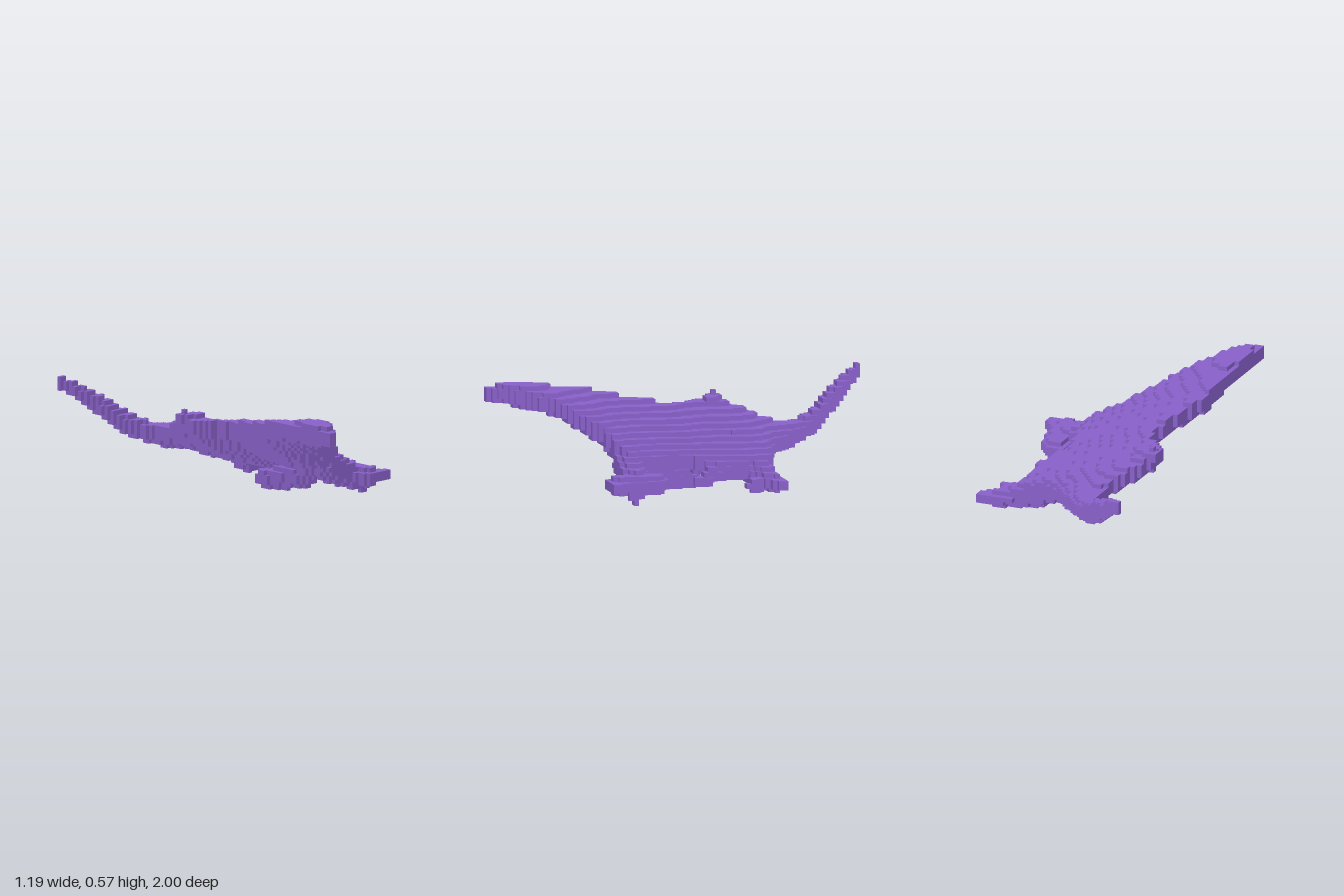
import * as THREE from 'three';

const S = 0.025;      // cell size
const LEAN = -0.25;   // sideways lean of the cell rows along z

// Sloping cross-sections, nose to tail tip: z, left x, left y, right x, right y
const SECTIONS = [
  [1.0, -0.60, 0.465, -0.555, 0.465],
  [0.9, -0.57, 0.475, -0.46, 0.475],
  [0.7, -0.53, 0.47, -0.26, 0.43],
  [0.5, -0.48, 0.46, 0.00, 0.31],
  [0.42, -0.46, 0.45, 0.21, 0.20],
  [0.3, -0.38, 0.43, 0.22, 0.18],
  [0.1, -0.28, 0.40, 0.21, 0.20],
  [0.0, -0.27, 0.38, 0.31, 0.16],
  [-0.1, -0.37, 0.40, 0.33, 0.16],
  [-0.2, -0.35, 0.40, 0.34, 0.17],
  [-0.32, -0.25, 0.36, 0.32, 0.18],
  [-0.4, -0.17, 0.31, 0.10, 0.23],
  [-0.5, -0.14, 0.28, 0.03, 0.25],
  [-0.6, -0.17, 0.29, -0.05, 0.27],
  [-0.7, -0.23, 0.33, -0.11, 0.31],
  [-0.8, -0.30, 0.42, -0.18, 0.39],
  [-1.0, -0.41, 0.55, -0.36, 0.55],
];

// Is the point inside the lens-shaped section at its z? Wider sections are thicker.
function inSections(p) {
  const i = SECTIONS.findIndex((row) => row[0] <= p.z);
  const a = SECTIONS[i - 1], b = SECTIONS[i];
  const t = (a[0] - p.z) / (a[0] - b[0]);
  const [, xl, yl, xr, yr] = a.map((v, k) => v + (b[k] - v) * t);
  const u = (p.x - xl) / (xr - xl);
  if (u < 0 || u > 1) return false;
  const rise = Math.min(0.06, 0.02 + 0.28 * (xr - xl));
  const drop = THREE.MathUtils.clamp(0.18 * (xr - xl), rise, 0.1);
  const round = 0.45 + 0.55 * Math.sqrt(1 - (2 * u - 1) ** 2);
  const dy = p.y - (yl + (yr - yl) * u);
  return dy < rise * round && dy > -drop * round;
}

// Tapered limb through points [x, y, z, radius]; squash flattens it vertically
function limb(squash, ...points) {
  const toVector = ([x, y, z]) => new THREE.Vector3(x, y * squash, z);
  return (p) => {
    const q = toVector([p.x, p.y, p.z]);
    return points.slice(1).some((end, i) => {
      const a = toVector(points[i]);
      const d = toVector(end).sub(a);
      const t = THREE.MathUtils.clamp(q.clone().sub(a).dot(d) / d.lengthSq(), 0, 1);
      return q.distanceTo(a.addScaledVector(d, t)) < THREE.MathUtils.lerp(points[i][3], end[3], t);
    });
  };
}

// Each part is a test for points inside it; the first match owns a cell
const PARTS = {
  head: (p) => p.z > 0.6 && inSections(p),
  tail: (p) => p.z < -0.45 && inSections(p),
  body: inSections,
  frontLeftLeg: limb(1, [0.12, 0.17, 0.4, 0.08], [0.34, 0.09, 0.42, 0.065]),
  frontLeftFoot: limb(1.7, [0.34, 0.1, 0.33, 0.085], [0.34, 0.1, 0.5, 0.08], [0.42, 0.1, 0.54, 0.045]),
  frontLeftClaw: limb(1, [0.39, 0.08, 0.44, 0.03], [0.39, 0.025, 0.44, 0.025]),
  bellyFin: limb(1, [0.1, 0.19, 0.36, 0.07], [0.07, 0.1, 0.27, 0.06], [0.06, 0.08, 0.05, 0.05]),
  hindLeftLeg: limb(1, [0.28, 0.14, -0.25, 0.08], [0.46, 0.1, -0.3, 0.045], [0.57, 0.1, -0.32, 0.022]),
  hindLeftToe: limb(1, [0.4, 0.1, -0.27, 0.04], [0.46, 0.09, -0.19, 0.035]),
  leftHip: limb(1, [0.28, 0.16, -0.08, 0.06], [0.35, 0.1, 0.07, 0.025]),
  rightHip: limb(1, [-0.28, 0.39, -0.16, 0.06], [-0.34, 0.43, -0.2, 0.035]),
};

// Cell grid coordinates to leaning world position
const place = (i, j, k) => new THREE.Vector3((i + LEAN * k) * S, j * S, k * S);

const key = (cell) => cell.join();

// Fill the grid with the cells whose centres lie inside a part
function fillCells() {
  const cells = new Map();
  for (let k = -40; k < 40; k++) {
    const shift = Math.round(LEAN * k);
    for (let i = -25 - shift; i < 26 - shift; i++) {
      for (let j = 0; j < 24; j++) {
        const p = place(i + 0.5, j + 0.5, k + 0.5);
        const name = Object.keys(PARTS).find((part) => PARTS[part](p));
        if (name) cells.set(key([i, j, k]), { name, at: [i, j, k] });
      }
    }
  }
  return cells;
}

// Outer faces of the cells of one part
function partGeometry(cells, name) {
  const positions = [];
  for (const cell of cells.values()) {
    if (cell.name !== name) continue;
    for (let axis = 0; axis < 3; axis++) {
      for (const side of [-1, 1]) {
        const neighbour = [...cell.at];
        neighbour[axis] += side;
        if (cells.has(key(neighbour))) continue;
        const corner = (u, v) => {
          const c = [...cell.at];
          if (side > 0) c[axis] += 1;
          c[(axis + 1) % 3] += u;
          c[(axis + 2) % 3] += v;
          return place(...c).toArray();
        };
        const a = corner(0, 0), b = corner(1, 0), c = corner(1, 1), d = corner(0, 1);
        if (side > 0) positions.push(...a, ...b, ...c, ...a, ...c, ...d);
        else positions.push(...a, ...c, ...b, ...a, ...d, ...c);
      }
    }
  }
  const geometry = new THREE.BufferGeometry();
  geometry.setAttribute('position', new THREE.Float32BufferAttribute(positions, 3));
  geometry.computeVertexNormals();
  return geometry;
}

export function createModel() {
  const group = new THREE.Group();
  const material = new THREE.MeshStandardMaterial({ color: 0x8a62cc, flatShading: true });
  const cells = fillCells();
  for (const name of Object.keys(PARTS)) {
    const mesh = new THREE.Mesh(partGeometry(cells, name), material);
    mesh.name = name;
    group.add(mesh);
  }
  return group;
}
